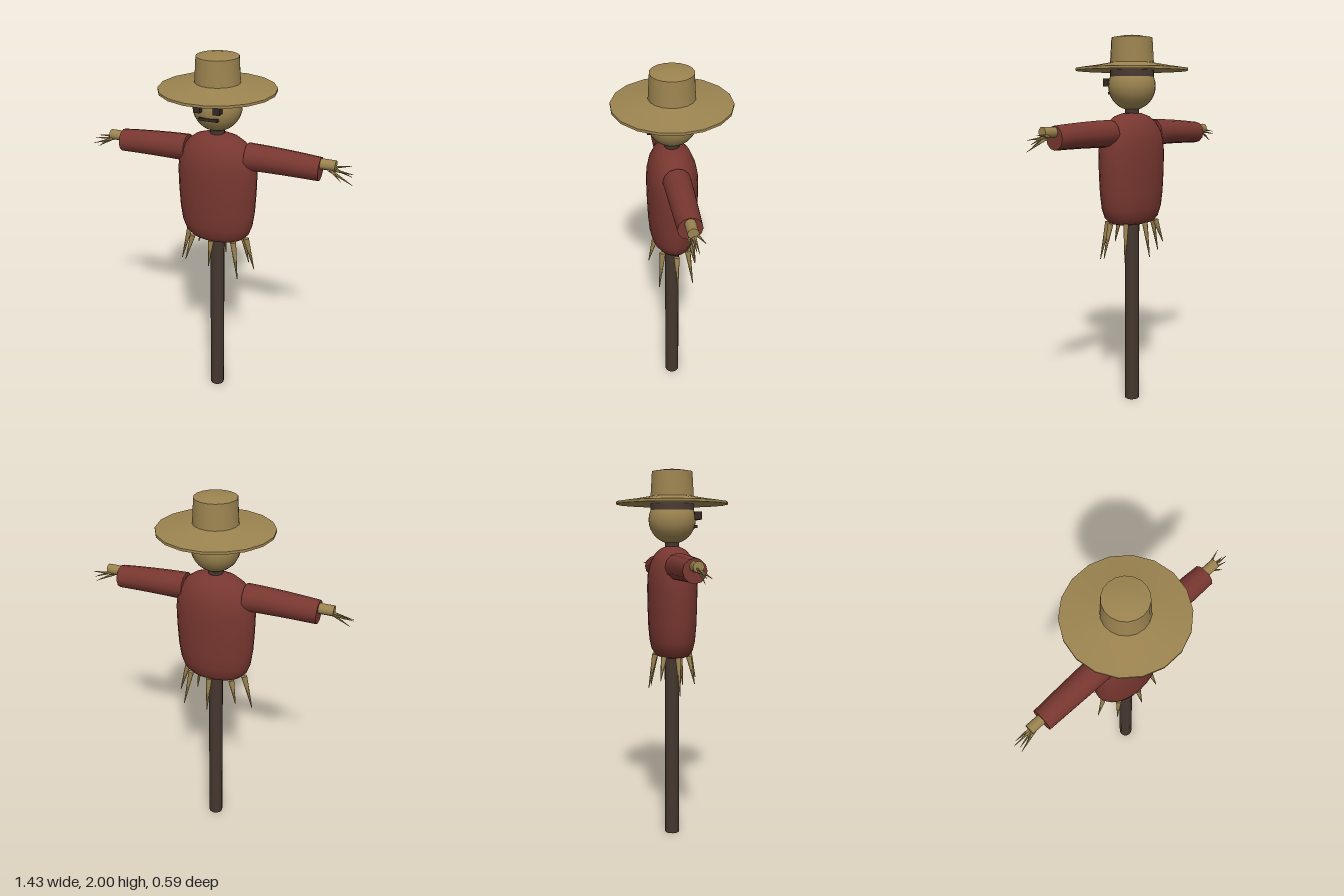
import * as THREE from 'three';
import { toCreasedNormals } from 'three/addons/utils/BufferGeometryUtils.js';

const material = (name, color) => {
  const m = new THREE.MeshStandardMaterial({ color });
  m.name = name;
  return m;
};

export function createModel() {
  const straw = material('straw', 0x9c8450);
  const cloth = material('red cloth', 0x783730);
  const wood = material('dark wood', 0x45372f);
  const band = material('hat band brown', 0x4a3a34);
  const dark = material('face dark', 0x352822);

  const model = new THREE.Group();
  model.name = 'scarecrow';

  const add = (name, geometry, mat, parent = model) => {
    const mesh = new THREE.Mesh(geometry, mat);
    mesh.name = name;
    parent.add(mesh);
    return mesh;
  };
  const group = (name) => {
    const g = new THREE.Group();
    g.name = name;
    model.add(g);
    return g;
  };
  // Turned shape from [radius, height] pairs, listed bottom to top
  const lathe = (profile, sides) =>
    new THREE.LatheGeometry(profile.map(([r, y]) => new THREE.Vector2(r, y)), sides);
  // Tapered rod running from a to b
  const rod = (name, a, b, ra, rb, sides, mat, parent) => {
    const start = new THREE.Vector3(...a), end = new THREE.Vector3(...b);
    const dir = end.clone().sub(start);
    const mesh = add(name, new THREE.CylinderGeometry(rb, ra, dir.length(), sides), mat, parent);
    mesh.position.copy(start).add(end).multiplyScalar(0.5);
    mesh.quaternion.setFromUnitVectors(new THREE.Vector3(0, 1, 0), dir.normalize());
    return mesh;
  };

  // Post, running up through the body as the neck
  rod('post', [0, 0, 0], [0, 1.65, 0], 0.04, 0.038, 12, wood);

  // Stuffed shirt, flattened front to back
  const shirt = lathe([
    [0, 1], [0.11, 1.002], [0.148, 1.012], [0.178, 1.04], [0.197, 1.09], [0.208, 1.17],
    [0.214, 1.28], [0.216, 1.38], [0.21, 1.45], [0.192, 1.5], [0.158, 1.547],
    [0.115, 1.577], [0.065, 1.593], [0, 1.597],
  ], 24);
  shirt.scale(1, 1, 0.61);
  shirt.computeVertexNormals();
  add('shirt', toCreasedNormals(shirt, 0.9), cloth);

  // Arms: drooping sleeve, wrist and straw fingers
  const fingerTips = {
    left: [[0.71, 1.42, 0.005], [0.71, 1.475, 0], [0.69, 1.5, -0.045], [0.655, 1.44, 0.03], [0.7, 1.455, -0.015]],
    right: [[-0.72, 1.465, 0], [-0.71, 1.45, 0.04], [-0.7, 1.425, 0.012], [-0.7, 1.48, -0.01], [-0.67, 1.45, 0.025]],
  };
  for (const [side, sign] of [['left', 1], ['right', -1]]) {
    const arm = group(side + 'Arm');
    const sleeve = lathe([[0, 0.165], [0.071, 0.165], [0.069, 0.26], [0.066, 0.36], [0.063, 0.46], [0.06, 0.545], [0, 0.545]], 12);
    sleeve.rotateZ(-sign * Math.PI / 2);
    const p = sleeve.attributes.position;
    for (let i = 0; i < p.count; i++) {
      const t = (Math.abs(p.getX(i)) - 0.165) / 0.38;
      p.setY(i, p.getY(i) + 1.49 - 0.011 * t * t);
    }
    sleeve.computeVertexNormals();
    add(side + 'Sleeve', toCreasedNormals(sleeve, 0.7), cloth, arm);

    const y = sign > 0 ? 1.508 : 1.5;
    rod(side + 'Wrist', [sign * 0.5, y, 0], [sign * 0.62, y, 0], 0.027, 0.027, 10, straw, arm);
    fingerTips[side].forEach(([tx, ty, tz], i) => {
      const spread = (i - 2) * 0.004;
      rod(side + 'Finger', [sign * 0.59, 1.49 + spread, tz * 0.3], [tx, ty, tz], 0.009, 0.001, 6, straw, arm);
    });
  }

  // Straw tufts hanging below the shirt, [angle step, tip height]
  const tufts = group('waistStraw');
  [0.835, 0.81, 0.88, 0.87, 0.82, 0.89, 0.83, 0.815].forEach((tipY, i) => {
    const a = i * Math.PI / 4, c = Math.cos(a), s = Math.sin(a);
    rod('strawTuft', [0.165 * c, 1.015, 0.095 * s], [0.215 * c, tipY, 0.13 * s], 0.016, 0.002, 6, straw, tufts);
  });

  // Head and face
  const head = group('head');
  const ball = add('sackHead', new THREE.SphereGeometry(0.126, 24, 16), straw, head);
  ball.position.y = 1.735;
  for (const x of [-0.051, 0.051]) {
    add('eye', new THREE.BoxGeometry(0.035, 0.042, 0.04), dark, head).position.set(x, 1.756, 0.127);
  }
  add('mouth', new THREE.BoxGeometry(0.1, 0.014, 0.026), dark, head).position.set(0, 1.699, 0.115);

  // Hat: wide brim, tapered crown and inner band
  const hat = group('hat');
  const bandShape = new THREE.CylinderGeometry(0.116, 0.116, 0.04, 24);
  add('hatBand', bandShape, band, hat).position.y = 1.802;
  const brim = lathe([[0, 1.82], [0.298, 1.815], [0.298, 1.828], [0.2, 1.842], [0.11, 1.858]], 18);
  brim.rotateY(Math.PI / 18);
  add('brim', toCreasedNormals(brim, 0.7), straw, hat);
  const crown = lathe([[0.117, 1.84], [0.113, 1.9], [0.108, 1.985], [0.055, 1.994], [0, 2]], 18);
  add('crown', toCreasedNormals(crown, 0.7), straw, hat);

  return model;
}
